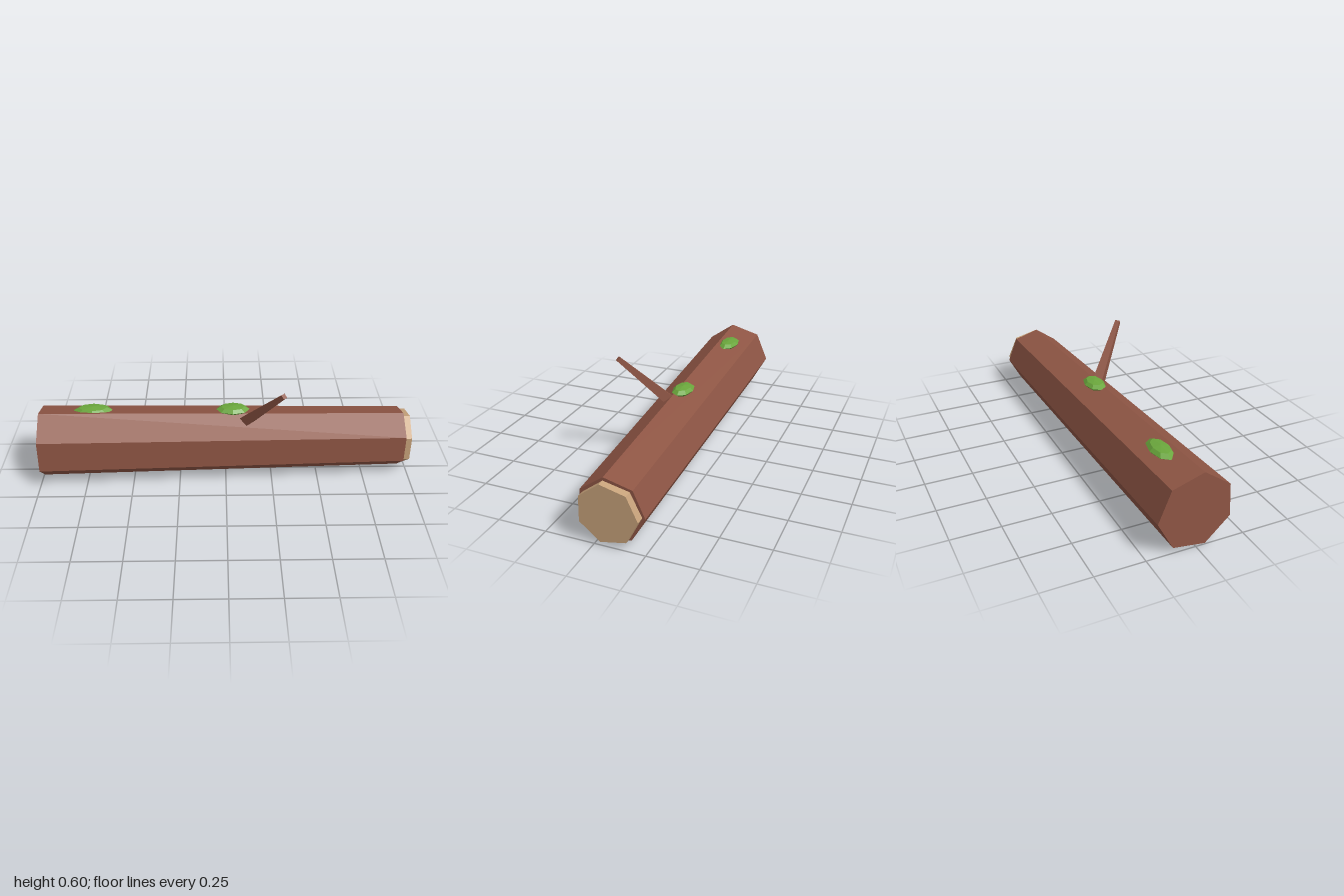
import * as THREE from 'three';

const flat = (name, color) => {
  const m = new THREE.MeshStandardMaterial({ color, flatShading: true });
  m.name = name;
  return m;
};

// Tapered prism running from point a to point b
function rod(name, material, a, b, ra, rb, sides, turn = 0) {
  const start = new THREE.Vector3(...a);
  const end = new THREE.Vector3(...b);
  const axis = end.clone().sub(start);
  const geo = new THREE.CylinderGeometry(rb, ra, axis.length(), sides, 1, false, turn);
  const mesh = new THREE.Mesh(geo, material);
  mesh.name = name;
  mesh.position.copy(start).add(end).multiplyScalar(0.5);
  mesh.quaternion.setFromUnitVectors(new THREE.Vector3(0, 1, 0), axis.normalize());
  return mesh;
}

export function createModel() {
  const bark = flat('bark brown', 0x8e5544);
  const wood = flat('cut wood tan', 0xc8a37b);
  const green = flat('moss green', 0x6aa63c);

  const model = new THREE.Group();
  model.name = 'fallenLog';

  // Seven-sided trunk, slightly tilted and tapering, with a cut face at the thin end
  const turn = -0.47;
  model.add(rod('trunk', bark, [-0.994, 0.19, -0.003], [0.961, 0.165, -0.066], 0.196, 0.166, 7, turn));
  model.add(rod('cutEnd', wood, [0.94, 0.164, -0.066], [1, 0.164, -0.066], 0.151, 0.151, 7, turn));

  // Four-sided branch stub
  model.add(rod('branch', bark, [0.085, 0.284, -0.015], [0.287, 0.588, 0.214], 0.041, 0.017, 4));

  // Flattened moss patches on top
  for (const [x, rx] of [[0.04, 0.09], [-0.71, 0.105]]) {
    const moss = new THREE.Mesh(new THREE.SphereGeometry(1, 8, 4), green);
    moss.name = 'mossPatch';
    moss.scale.set(rx, 0.023, 0.055);
    moss.position.set(x, 0.362, -0.039);
    model.add(moss);
  }
  return model;
}
